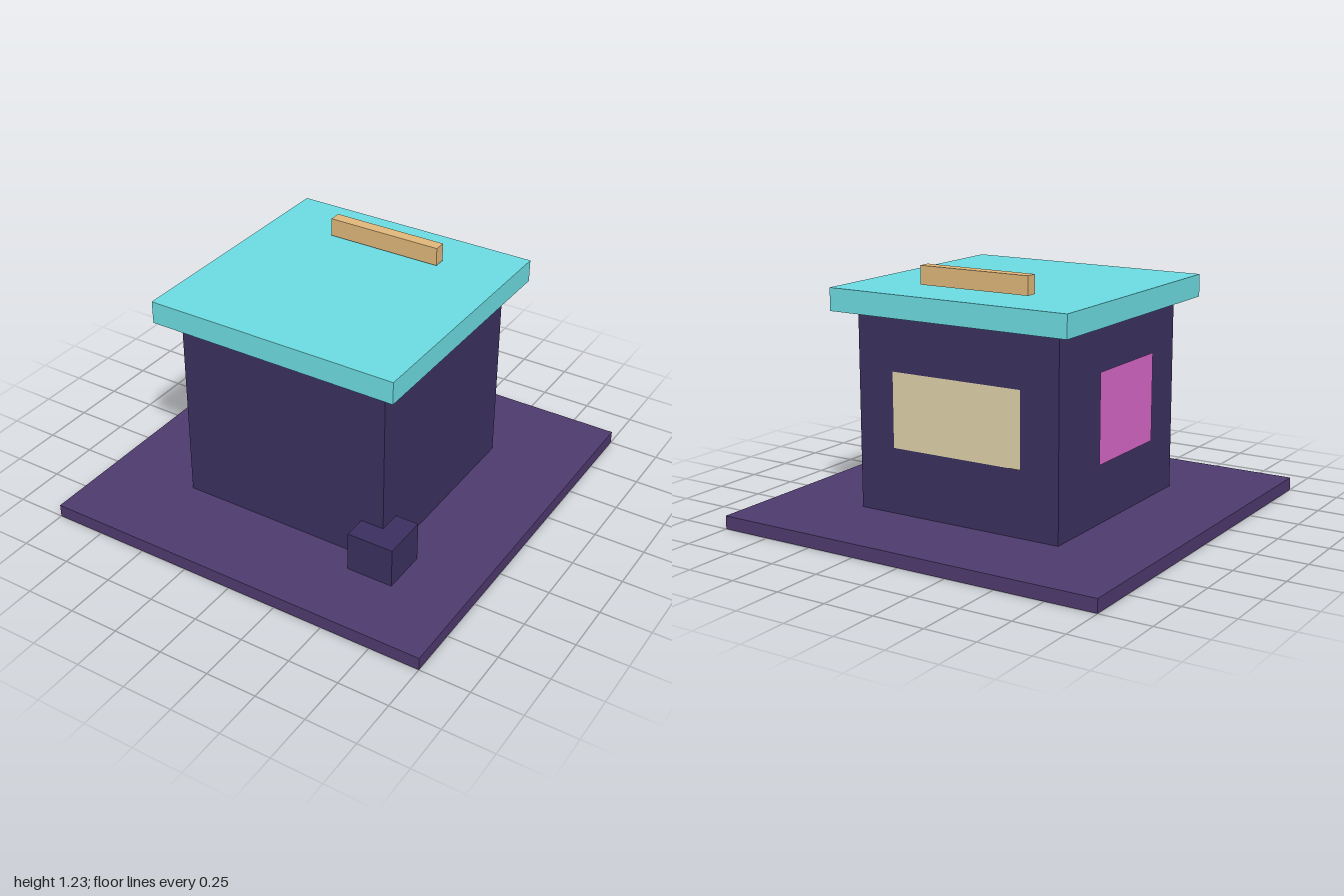
import * as THREE from 'three';

// Box given by its min and max corners
function block(name, color, min, max) {
  const size = max.map((v, i) => v - min[i]);
  const mesh = new THREE.Mesh(
    new THREE.BoxGeometry(...size),
    new THREE.MeshStandardMaterial({ color, flatShading: true })
  );
  mesh.position.set(...max.map((v, i) => (v + min[i]) / 2));
  mesh.name = name;
  return mesh;
}

// Flat panel on a wall
function panel(name, color, width, height, position, turn) {
  const mesh = new THREE.Mesh(
    new THREE.PlaneGeometry(width, height),
    new THREE.MeshStandardMaterial({ color, side: THREE.DoubleSide })
  );
  mesh.position.set(...position);
  mesh.rotation.y = turn;
  mesh.name = name;
  return mesh;
}

export function createModel() {
  const model = new THREE.Group();
  model.name = 'kiosk';
  const wall = 0.543, roof = 0.635;

  model.add(
    // Ground slab, body and overhanging flat roof
    block('groundSlab', 0x4e3a6e, [-1, 0, -1], [1, 0.065, 1]),
    block('walls', 0x3b3060, [-wall, 0.065, -wall], [wall, 1.02, wall]),
    block('roof', 0x6cdce2, [-roof, 1.02, -roof], [roof, 1.13, roof]),
    // Sign bar above the roof, near the back
    block('roofSign', 0xe0b77a, [-0.292, 1.14, -0.395], [0.292, 1.23, -0.335]),
    // Small crate at the front corner
    block('cornerCrate', 0x3b3060, [0.428, 0.065, 0.428], [0.66, 0.265, 0.66]),
    // Window on the back, poster on the side
    panel('backWindow', 0xdfd3aa, 0.695, 0.365, [0, 0.568, -wall - 0.005], Math.PI),
    panel('sidePoster', 0xd868c8, 0.51, 0.435, [-wall - 0.005, 0.568, 0.068], -Math.PI / 2)
  );
  return model;
}
